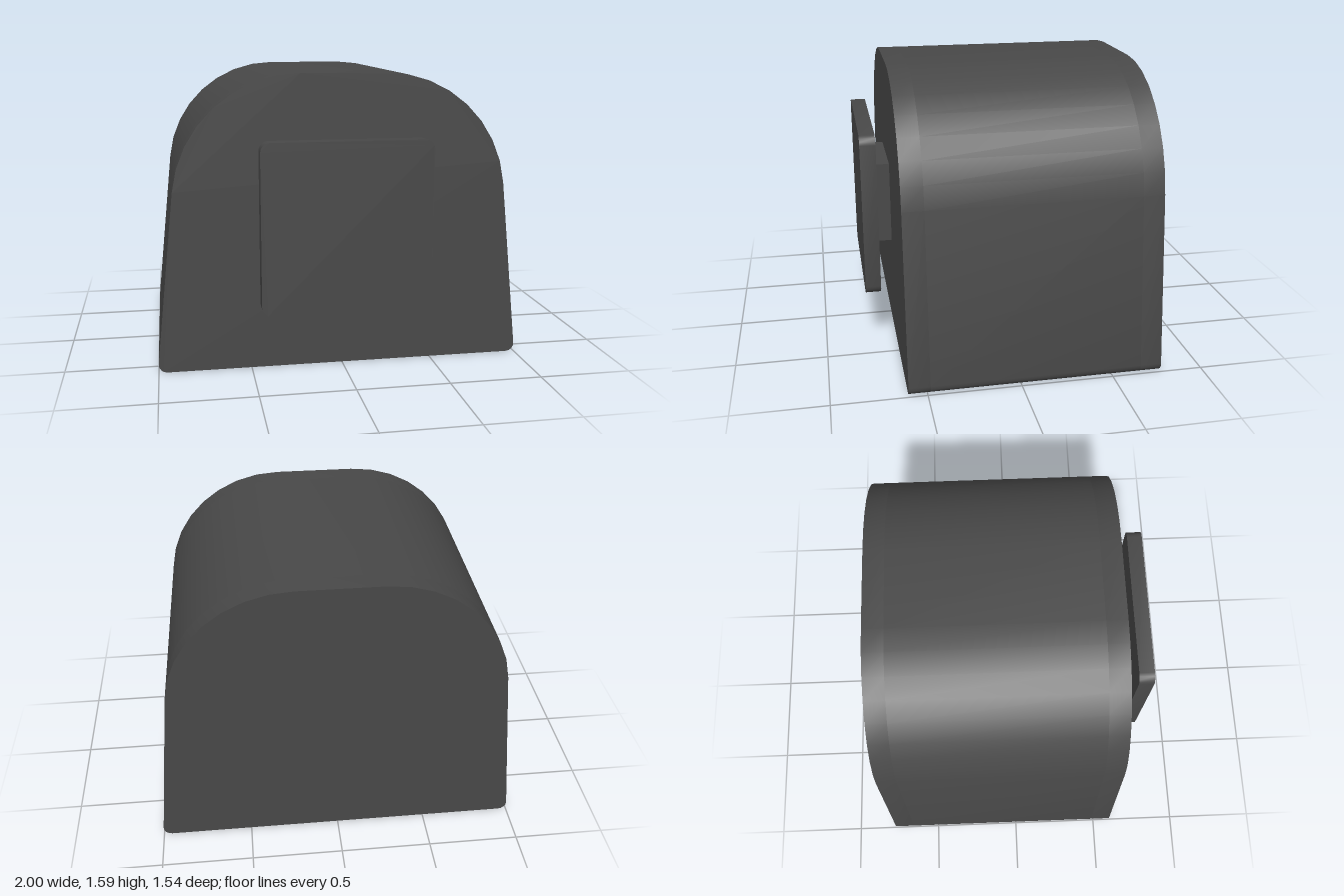
import * as THREE from 'three';
import { toCreasedNormals } from 'three/addons/utils/BufferGeometryUtils.js';

const WALL = 0.115, BACK = -0.77, FRONT = 0.6;
const TILT = THREE.MathUtils.degToRad(6); // lean of the side walls

// points on an arc, ends included
function arc(cx, cy, r, from, to, steps) {
  return Array.from({ length: steps + 1 }, (_, i) => {
    const a = from + ((to - from) * i) / steps;
    return new THREE.Vector2(cx + r * Math.cos(a), cy + r * Math.sin(a));
  });
}

// right half of a profile followed by its mirror image
function mirrored(half) {
  return [...half, ...half.map((p) => new THREE.Vector2(-p.x, p.y)).reverse()];
}

const shoulder = (r) => arc(0.225, 0.91, r, TILT, Math.PI / 2, 8);

export function createModel() {
  const group = new THREE.Group();
  const material = new THREE.MeshStandardMaterial({ color: 0x484848 });

  function addExtrusion(name, points, z0, z1) {
    const raw = new THREE.ExtrudeGeometry(new THREE.Shape(points), { depth: z1 - z0, bevelEnabled: false });
    const mesh = new THREE.Mesh(toCreasedNormals(raw, 0.6), material);
    mesh.position.z = z0;
    mesh.name = name;
    group.add(mesh);
  }

  // arched outline with softened feet, and the hollow inside it
  const outer = mirrored([...arc(0.955, 0.045, 0.045, -Math.PI / 2, TILT, 4), ...shoulder(0.68)]);
  const inner = mirrored([new THREE.Vector2(0.887, 0), ...shoulder(0.565)]);

  // hollow housing, open underneath
  addExtrusion('archedShell', [...outer, ...inner.reverse()], BACK + WALL, FRONT - WALL);
  addExtrusion('backWall', outer, BACK, BACK + WALL);
  addExtrusion('frontWall', outer, FRONT - WALL, FRONT);

  // square stem joining the housing to the plate
  const stem = new THREE.Mesh(new THREE.BoxGeometry(0.456, 0.458, 0.085), material);
  stem.position.set(0, 0.795, 0.6425);
  stem.name = 'stem';
  group.add(stem);

  // front plate with rounded corners
  const h = 0.457, r = 0.05, cy = 0.795;
  const plate = mirrored([
    ...arc(h - r, cy - h + r, r, -Math.PI / 2, 0, 4),
    ...arc(h - r, cy + h - r, r, 0, Math.PI / 2, 4),
  ]);
  addExtrusion('frontPlate', plate, 0.685, 0.77);

  return group;
}
